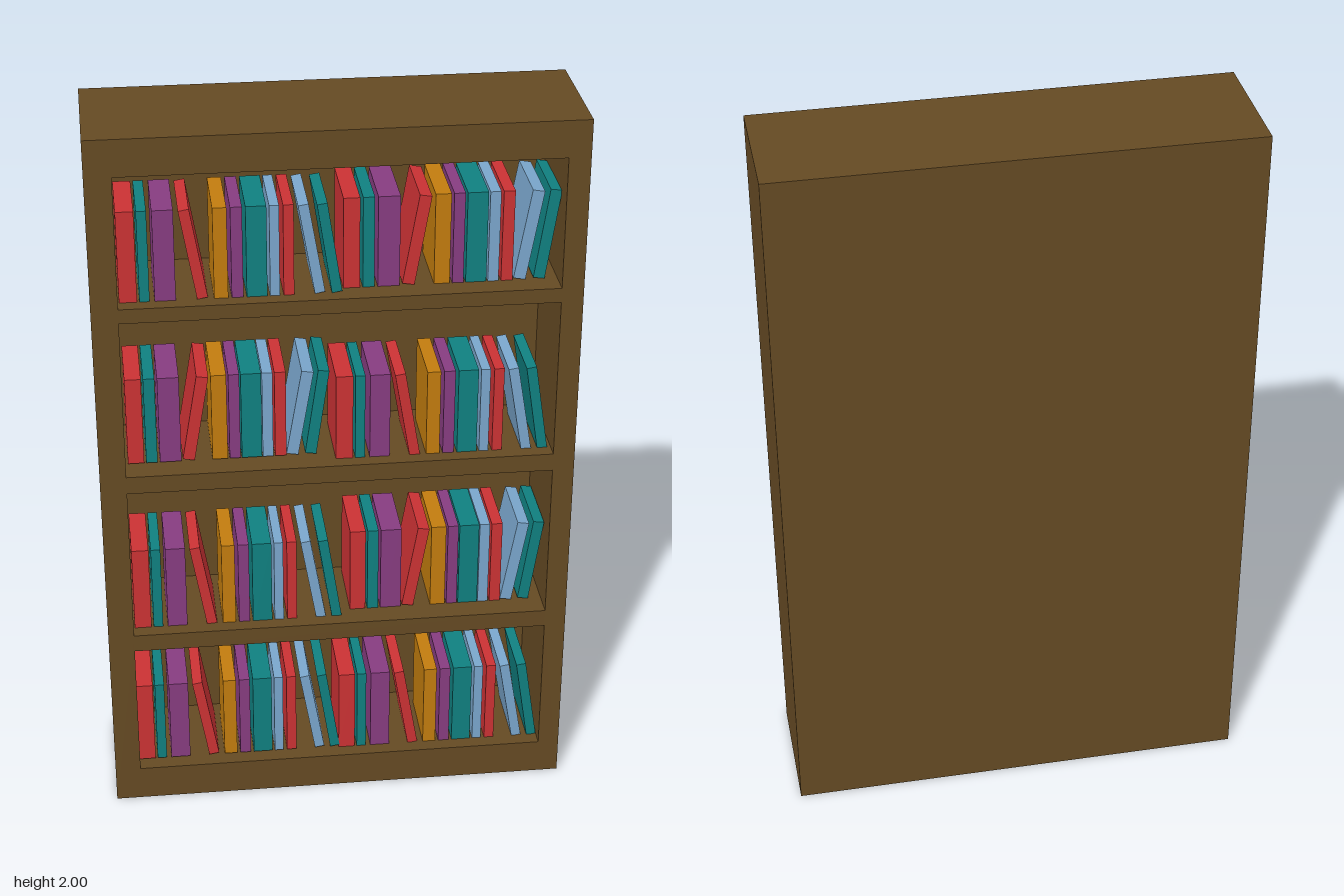
import * as THREE from 'three';

const mat = (color) => new THREE.MeshStandardMaterial({ color, flatShading: true });
const RED = mat(0xcb3234), TEAL = mat(0x108080), PURPLE = mat(0x873c80);
const ORANGE = mat(0xc27c0e), BLUE = mat(0x7aa6cc), WOOD = mat(0x654a23);

// Per book: material, width, centre x from the start of the set, lean (1 = leaning)
const LEFT_SET = [
  [RED, 0.046, 0.024, 0], [TEAL, 0.026, 0.066, 0], [PURPLE, 0.054, 0.119, 0],
  [RED, 0.028, 0.193, 1], [ORANGE, 0.036, 0.262, 0], [PURPLE, 0.03, 0.304, 0],
  [TEAL, 0.053, 0.354, 0], [BLUE, 0.025, 0.4, 0], [RED, 0.027, 0.436, 0],
  [BLUE, 0.027, 0.495, 1], [TEAL, 0.027, 0.541, 0.9],
];
const RIGHT_SET = [
  [RED, 0.043, 0.022, 0], [TEAL, 0.03, 0.064, 0], [PURPLE, 0.057, 0.114, 0],
  [RED, 0.032, 0.183, -1], [ORANGE, 0.041, 0.246, 0], [PURPLE, 0.029, 0.286, 0],
  [TEAL, 0.054, 0.331, 0], [BLUE, 0.028, 0.374, 0], [RED, 0.03, 0.408, 0],
  [BLUE, 0.032, 0.46, -1], [TEAL, 0.03, 0.506, -0.85],
];

function bookSet(name, books, startX, shelfY, frontZ, stretch = 1) {
  const set = new THREE.Group();
  set.name = name;
  const height = 0.25, depth = 0.2;
  for (const [material, width, x, lean] of books) {
    const book = new THREE.Mesh(new THREE.BoxGeometry(width, height, depth), material);
    book.name = lean ? 'leaningBook' : 'book';
    const angle = lean * 0.17;
    book.rotation.z = angle;
    // Keep the lower corner of a leaning book on the shelf and its top level with the rest
    const full = height * Math.cos(angle) + width * Math.abs(Math.sin(angle));
    book.scale.y = 1 - (full - height) / height;
    book.position.set(x * stretch, height / 2, 0);
    set.add(book);
  }
  set.position.set(startX, shelfY, frontZ - depth / 2);
  return set;
}

export function createModel() {
  const model = new THREE.Group();
  model.name = 'bookcase';

  // Frame with four open compartments
  const W = 0.635, innerL = -0.565, innerR = 0.577;
  const rect = (P, x0, x1, y0, y1) => new P([
    new THREE.Vector2(x0, y0), new THREE.Vector2(x1, y0),
    new THREE.Vector2(x1, y1), new THREE.Vector2(x0, y1),
  ]);
  const shape = rect(THREE.Shape, -W, W, 0, 2);
  for (const [y0, y1] of [[0.1, 0.5], [0.55, 1.0], [1.05, 1.5], [1.54, 1.9]]) {
    shape.holes.push(rect(THREE.Path, innerL, innerR, y0, y1));
  }
  const backZ = -0.11;
  const frame = new THREE.Mesh(
    new THREE.ExtrudeGeometry(shape, { depth: 0.18 - backZ, bevelEnabled: false }), WOOD);
  frame.name = 'shelfFrame';
  frame.position.z = backZ;
  model.add(frame);

  // Solid back
  const back = new THREE.Mesh(new THREE.BoxGeometry(W * 2, 2, 0.07), WOOD);
  back.name = 'backPanel';
  back.position.set(0, 1, -0.145);
  model.add(back);

  // Two sets of books on each shelf
  const leftSet = (x, y) => model.add(bookSet('leftLeaningBooks', LEFT_SET, x, y, 0.14));
  const rightSet = (x, y, s) => model.add(bookSet('rightLeaningBooks', RIGHT_SET, x, y, 0.115, s));
  leftSet(-0.562, 1.54);
  rightSet(0.015, 1.54, 1.05);
  rightSet(-0.558, 1.055);
  leftSet(-0.006, 1.045);
  leftSet(-0.562, 0.547);
  rightSet(0.037, 0.552);
  leftSet(-0.567, 0.104);
  leftSet(0.003, 0.098);
  return model;
}
